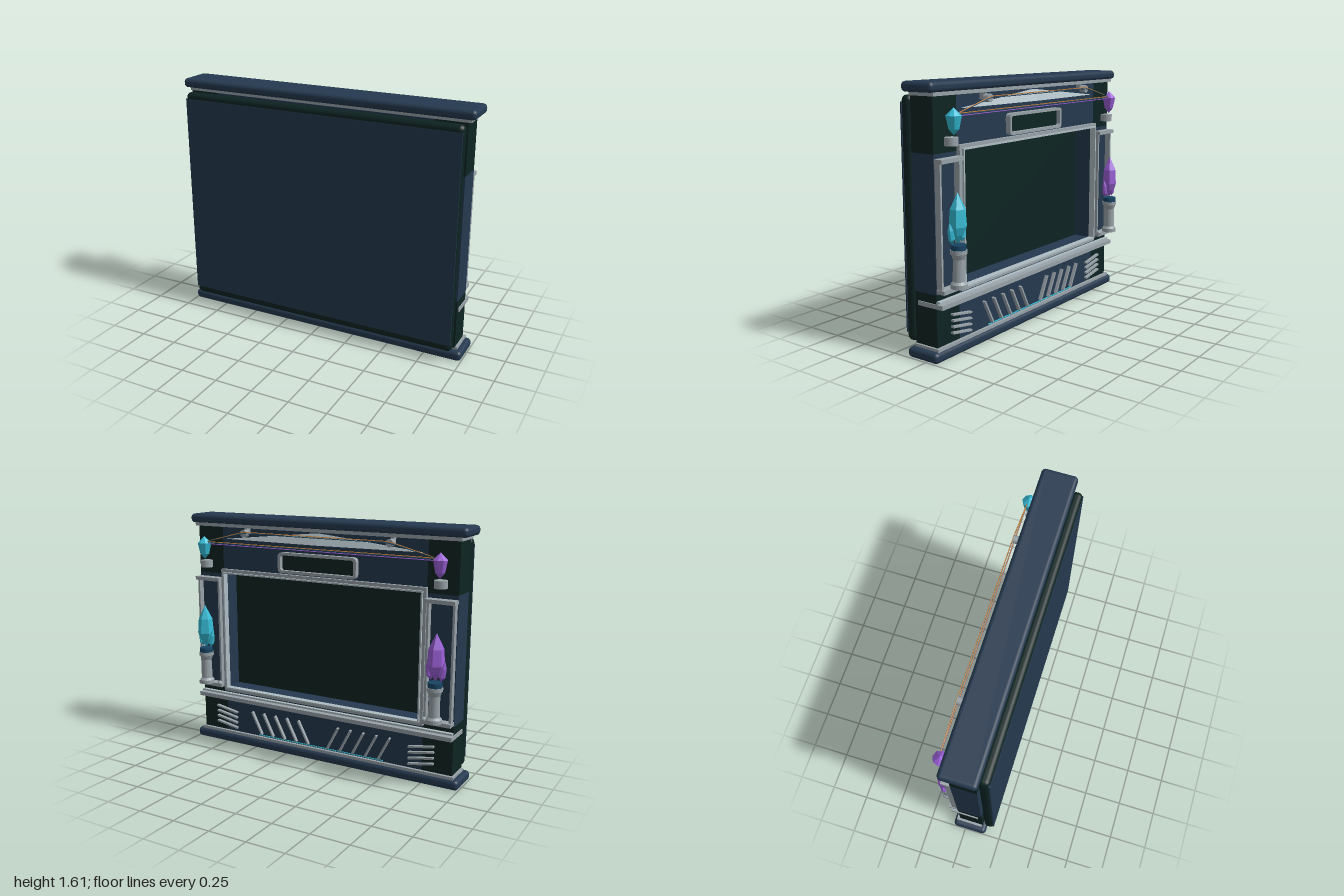
import * as THREE from 'three';
import { RoundedBoxGeometry } from 'three/addons/geometries/RoundedBoxGeometry.js';
import { ConvexGeometry } from 'three/addons/geometries/ConvexGeometry.js';

const mat = (name, color) => {
  const m = new THREE.MeshStandardMaterial({ color });
  m.name = name;
  return m;
};

export function createModel() {
  const navy = mat('navy', 0x25394f);
  const green = mat('dark green', 0x0d2422);
  const silver = mat('silver', 0x98a2a8);
  const pale = mat('pale grey', 0xaebcc3);
  const cyan = mat('cyan', 0x35bcd6);
  const purple = mat('purple', 0x9a5fd6);
  const blue = mat('deep blue', 0x174463);
  const orange = mat('orange', 0xc9823a);

  const root = new THREE.Group();
  root.name = 'cabinet';
  const add = (name, geo, material, parent = root) => {
    const m = new THREE.Mesh(geo, material);
    m.name = name;
    parent.add(m);
    return m;
  };
  // box given by its limits on each axis
  const box = (name, material, x0, x1, y0, y1, z0, z1, r = 0) => {
    const s = [Math.abs(x1 - x0), y1 - y0, z1 - z0];
    const geo = r ? new RoundedBoxGeometry(...s, 3, r) : new THREE.BoxGeometry(...s);
    const m = add(name, geo, material);
    m.position.set((x0 + x1) / 2, (y0 + y1) / 2, (z0 + z1) / 2);
    return m;
  };
  const lathe = (pts, sides, flat) => {
    const g = new THREE.LatheGeometry(pts.map(p => new THREE.Vector2(...p)), sides);
    if (!flat) return g;
    const f = g.toNonIndexed();
    f.computeVertexNormals();
    return f;
  };
  const frameGeo = (w, h, t, depth, r) => {
    const path = (P, a, b, c) => {
      const p = new P();
      p.moveTo(-a + c, -b);
      p.lineTo(a - c, -b); p.quadraticCurveTo(a, -b, a, -b + c);
      p.lineTo(a, b - c); p.quadraticCurveTo(a, b, a - c, b);
      p.lineTo(-a + c, b); p.quadraticCurveTo(-a, b, -a, b - c);
      p.lineTo(-a, -b + c); p.quadraticCurveTo(-a, -b, -a + c, -b);
      return p;
    };
    const s = path(THREE.Shape, w / 2, h / 2, r);
    s.holes.push(path(THREE.Path, w / 2 - t, h / 2 - t, r * 0.6));
    return new THREE.ExtrudeGeometry(s, { depth, bevelEnabled: false, curveSegments: 5 });
  };
  const frame = (name, material, x0, x1, y0, y1, z0, z1, t, r = 0.002) => {
    add(name, frameGeo(x1 - x0, y1 - y0, t, z1 - z0, r), material)
      .position.set((x0 + x1) / 2, (y0 + y1) / 2, z0);
  };

  // large front panel
  box('frontPanel', green, -0.95, 0.95, 0.08, 1.53, 0.125, 0.195, 0.03);
  box('frontPanelFace', navy, -0.945, 0.945, 0.13, 1.49, 0.189, 0.197);
  box('panelSpacer', green, -0.9, 0.9, 0.12, 1.49, 0.11, 0.13);

  // top and bottom caps with trims
  box('topCap', navy, -1, 1, 1.55, 1.61, -0.085, 0.145, 0.025);
  box('bottomCap', navy, -1, 1, 0, 0.065, -0.085, 0.145, 0.025);
  box('topTrim', silver, -0.965, 0.965, 1.53, 1.552, -0.07, 0.11);
  box('bottomTrim', silver, -0.965, 0.965, 0.062, 0.082, -0.07, 0.11);

  // body around the recessed opening
  box('upperBody', navy, -0.75, 0.75, 1.22, 1.53, -0.05, 0.115);
  box('lowerBody', navy, -0.75, 0.75, 0.08, 0.4, -0.05, 0.115);
  box('screen', green, -0.75, 0.75, 0.4, 1.22, 0.09, 0.115);
  frame('openingFrame', silver, -0.755, 0.755, 0.38, 1.245, -0.075, -0.045, 0.022);
  frame('openingInnerFrame', pale, -0.735, 0.735, 0.4, 1.225, -0.088, -0.045, 0.01);

  // name plate
  box('namePlate', green, -0.275, 0.275, 1.27, 1.375, -0.056, -0.05);
  frame('namePlateFrame', silver, -0.287, 0.287, 1.255, 1.39, -0.085, -0.05, 0.018, 0.03);

  // wedge-shaped pediment
  add('pediment', new ConvexGeometry([
    [-0.72, 1.45, -0.049], [0.72, 1.45, -0.049], [0, 1.525, -0.049],
    [0, 1.45, -0.088], [-0.7, 1.45, -0.06], [0.7, 1.45, -0.06],
  ].map(p => new THREE.Vector3(...p))), pale);

  // shelf wrapping the lower body
  box('lowerShelf', silver, -0.957, 0.957, 0.32, 0.347, -0.1, 0.09);
  box('lowerShelfLip', pale, -0.95, 0.95, 0.352, 0.364, -0.075, -0.045);
  box('lightStrip', cyan, -0.48, 0.48, 0.087, 0.093, -0.056, -0.05);

  const bigCrystal = lathe([[0, 0], [0.035, 0.05], [0.055, 0.1], [0.047, 0.2], [0, 0.295]], 6, true);
  const shard = lathe([[0, 0], [0.02, 0.03], [0.018, 0.085], [0, 0.13]], 6, true);
  const smallCrystal = lathe([[0, 0], [0.03, 0.035], [0.046, 0.11], [0, 0.155]], 8, true);
  const pedestal = lathe([[0, 0], [0.05, 0], [0.05, 0.025], [0.037, 0.04], [0.034, 0.17],
    [0.046, 0.2], [0.05, 0.202], [0.05, 0.225], [0, 0.225]], 20, true);

  for (const s of [1, -1]) {
    const gem = s > 0 ? cyan : purple;
    const cx = s * 0.855;

    // side columns
    box('columnBase', green, s * 0.75, s * 0.95, 0.08, 0.4, -0.05, 0.115);
    box('columnMiddle', navy, s * 0.75, s * 0.95, 0.4, 1.21, -0.05, 0.115);
    box('columnTop', green, s * 0.75, s * 0.95, 1.21, 1.53, -0.05, 0.115);
    frame('columnFrame', silver, cx - 0.09, cx + 0.09, 0.42, 1.18, -0.09, -0.05, 0.014);
    for (const y of [0.41, 1.16])
      box('columnLedge', silver, s * 0.755, s * 0.95, y, y + 0.024, -0.11, -0.05);
    add('ledgeKnob', new THREE.SphereGeometry(0.018, 12, 8), silver).position.set(s * 0.775, 0.435, -0.1);

    // pedestal and large crystal cluster
    add('pedestal', pedestal, silver).position.set(cx, 0.44, -0.14);
    add('pedestalCollar', new THREE.CylinderGeometry(0.045, 0.045, 0.03, 20), blue).position.set(cx, 0.68, -0.14);
    add('largeCrystal', bigCrystal, gem).position.set(cx, 0.7, -0.137);
    for (const [dx, dz, tilt] of [[0.035, 0.005, -0.18], [-0.035, -0.005, 0.18]]) {
      const c = add('crystalShard', shard, gem);
      c.position.set(cx + dx, 0.7, -0.13 + dz);
      c.rotation.z = tilt;
    }

    // small upper crystal on a holder
    add('crystalHolder', new THREE.CylinderGeometry(0.04, 0.04, 0.048, 20), silver).position.set(cx, 1.278, -0.1);
    add('smallCrystal', smallCrystal, gem).position.set(cx, 1.312, -0.12);

    // cable post
    const post = add('cablePost', new THREE.CylinderGeometry(0.025, 0.025, 0.04, 14), silver);
    post.rotation.x = Math.PI / 2;
    post.position.set(s * 0.53, 1.5, -0.105);
    box('postBracket', silver, s * 0.52, s * 0.54, 1.49, 1.53, -0.09, -0.05);

    // diagonal vents and short outer vents
    const slat = (name, x0, y0, x1, y1) => {
      const m = add(name, new THREE.BoxGeometry(Math.hypot(x1 - x0, y1 - y0), 0.012, 0.025), silver);
      m.position.set((x0 + x1) / 2, (y0 + y1) / 2, -0.06);
      m.rotation.z = Math.atan2(y1 - y0, x1 - x0);
    };
    for (let i = 0; i < 5; i++) {
      const x = 0.53 - i * 0.094;
      slat('diagonalVent', s * x, 0.255, s * (x - 0.08), 0.1);
    }
    for (let i = 0; i < 4; i++)
      slat('outerVent', s * 0.66, 0.225 - i * 0.038, s * 0.83, 0.255 - i * 0.038);
  }

  // cables strung between the upper crystals
  const cable = (material, pts) => {
    const path = new THREE.CurvePath();
    for (let i = 1; i < pts.length; i++)
      path.add(new THREE.LineCurve3(new THREE.Vector3(...pts[i - 1]), new THREE.Vector3(...pts[i])));
    add('cable', new THREE.TubeGeometry(path, 48, 0.003, 5), material);
  };
  [orange, blue, purple].forEach((m, i) => {
    const y = 1.432 - i * 0.007;
    cable(m, [[-0.82, y, -0.128], [0.82, y, -0.128]]);
  });
  [orange, blue].forEach((m, i) => {
    const y = 1.51 - i * 0.008;
    cable(m, [[-0.82, 1.435, -0.128], [-0.53, y, -0.128], [0.53, y, -0.128], [0.82, 1.435, -0.128]]);
  });

  return root;
}
